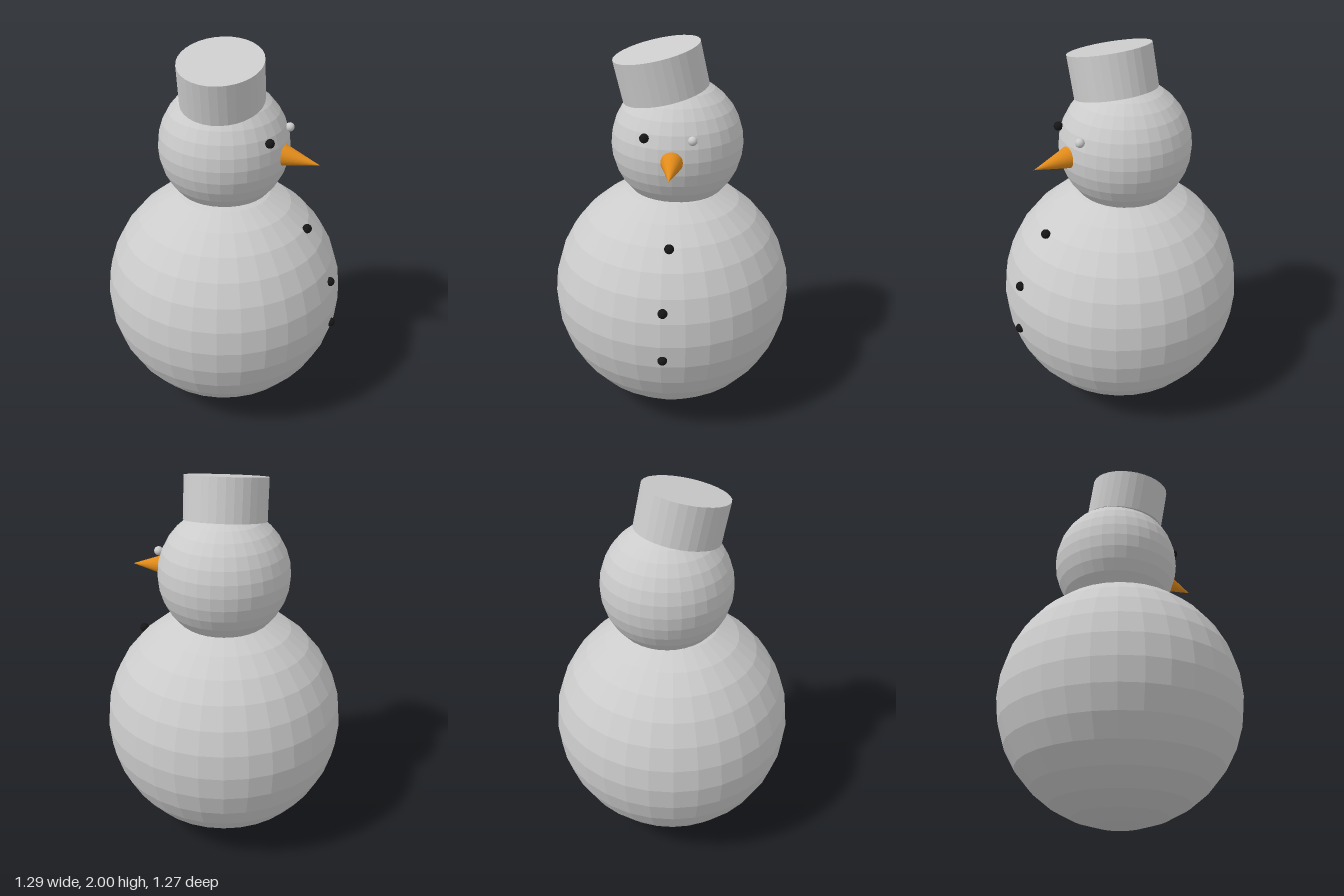
import * as THREE from 'three';

const material = (color) => new THREE.MeshStandardMaterial({ color, flatShading: true });
const snow = material(0xcccccc);
const coal = material(0x161616);
const carrot = material(0xe08a1a);

export function createModel() {
  const model = new THREE.Group();

  const add = (name, geometry, mat, position) => {
    const mesh = new THREE.Mesh(geometry, mat);
    mesh.name = name;
    mesh.position.set(...position);
    model.add(mesh);
    return mesh;
  };
  const ball = (name, radius, mat, position) =>
    add(name, new THREE.SphereGeometry(radius, 32, 16), mat, position);

  // Snowballs
  ball('body', 0.636, snow, [-0.01, 0.638, -0.002]);
  ball('head', 0.338, snow, [-0.022, 1.476, -0.029]);

  // Hat: a short, slightly oval cylinder tipped forwards and sideways
  const hat = add('hat', new THREE.CylinderGeometry(0.21, 0.21, 0.217, 32), snow, [0.002, 1.843, 0.05]);
  hat.scale.z = 1.055;
  hat.rotation.set(0.216, 0, -0.055);

  // Eyes: one coal, one plain
  ball('leftEye', 0.023, snow, [0.294, 1.587, -0.129]);
  ball('rightEye', 0.023, coal, [0.285, 1.59, 0.104]);

  // Carrot nose, its cone pointed from the face to the tip
  const base = new THREE.Vector3(0.295, 1.479, -0.03);
  const tip = new THREE.Vector3(0.497, 1.458, -0.034);
  const axis = tip.clone().sub(base);
  const middle = base.clone().add(tip).multiplyScalar(0.5);
  const nose = add('nose', new THREE.ConeGeometry(0.058, axis.length(), 32), carrot, middle.toArray());
  nose.quaternion.setFromUnitVectors(new THREE.Vector3(0, 1, 0), axis.normalize());

  // Buttons down the body
  [
    [0.45, 1.09, -0.031],
    [0.599, 0.817, -0.013],
    [0.618, 0.56, -0.013],
  ].forEach((position, i) => ball(`button${i + 1}`, 0.024, coal, position));

  return model;
}
